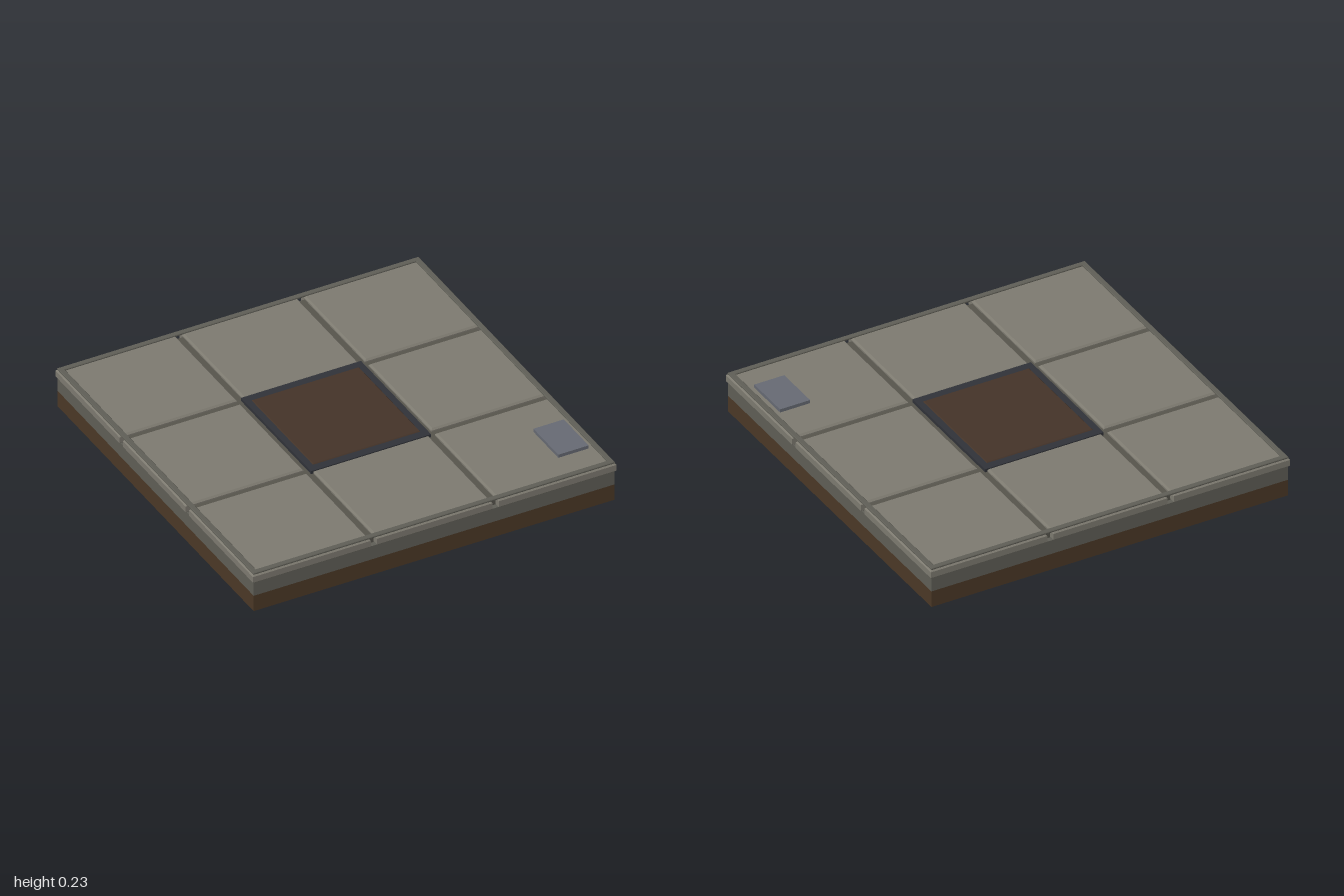
import * as THREE from 'three';

const material = (color) => new THREE.MeshStandardMaterial({ color, flatShading: true });
const soil = material(0x4b3826);
const bedding = material(0x5f5e56);
const stone = material(0x7d7a70);
const joint = material(0x56544c);
const iron = material(0x303238);
const earth = material(0x443328);
const plateGrey = material(0x666a73);

// Box given by its limits on each axis
function block(name, [x0, x1], [y0, y1], [z0, z1], mat) {
  const mesh = new THREE.Mesh(new THREE.BoxGeometry(x1 - x0, y1 - y0, z1 - z0), mat);
  mesh.position.set((x0 + x1) / 2, (y0 + y1) / 2, (z0 + z1) / 2);
  mesh.name = name;
  return mesh;
}

// Block with chamfered edges all round
function chamferedBlock(name, [x0, x1], [y0, y1], [z0, z1], c, mat) {
  const w = (x1 - x0) / 2 - c;
  const d = (z1 - z0) / 2 - c;
  const shape = new THREE.Shape([[-w, -d], [w, -d], [w, d], [-w, d]].map(([x, y]) => new THREE.Vector2(x, y)));
  const geometry = new THREE.ExtrudeGeometry(shape, {
    depth: y1 - y0 - 2 * c, bevelEnabled: true, bevelThickness: c, bevelSize: c, bevelSegments: 1,
  });
  geometry.rotateX(-Math.PI / 2);
  const mesh = new THREE.Mesh(geometry, mat);
  mesh.position.set((x0 + x1) / 2, y0 + c, (z0 + z1) / 2);
  mesh.name = name;
  return mesh;
}

export function createModel() {
  const model = new THREE.Group();
  model.name = 'pavedGroundTile';

  // Soil and bedding layers
  model.add(block('soilLayer', [-0.992, 0.992], [0, 0.09], [-0.992, 0.992], soil));
  model.add(block('beddingLayer', [-0.992, 0.992], [0.09, 0.168], [-0.992, 0.992], bedding));

  // Eight paving slabs around an open centre
  const slabs = new THREE.Group();
  slabs.name = 'pavingSlabs';
  const spans = [[-1, -0.352], [-0.318, 0.318], [0.352, 1]];
  spans.forEach((xs, i) => spans.forEach((zs, j) => {
    if (i === 1 && j === 1) return;
    slabs.add(chamferedBlock('pavingSlab', xs, [0.165, 0.216], zs, 0.009, stone));
  }));
  model.add(slabs);

  // Joint filling in the grooves, and the raised outer rim
  for (const s of [-1, 1]) {
    const g = [s * 0.335 - 0.018, s * 0.335 + 0.018];
    model.add(block('lengthwiseJoint', g, [0.165, 0.2], [-0.965, 0.965], joint));
    model.add(block('crosswiseJoint', [-0.965, 0.965], [0.165, 0.2], g, joint));
    const r = [s * 0.98 - 0.014, s * 0.98 + 0.014];
    model.add(chamferedBlock('sideRim', r, [0.212, 0.224], [-0.994, 0.994], 0.003, bedding));
    model.add(chamferedBlock('endRim', [-0.994, 0.994], [0.212, 0.224], r, 0.003, bedding));
  }

  // Iron frame around the planting bed
  const frame = new THREE.Group();
  frame.name = 'bedFrame';
  for (const s of [-1, 1]) {
    frame.add(block('frameSide', [s * 0.312 - 0.018, s * 0.312 + 0.018], [0.165, 0.217], [-0.355, 0.355], iron));
    frame.add(block('frameEnd', [-0.294, 0.294], [0.165, 0.217], [s * 0.332 - 0.023, s * 0.332 + 0.023], iron));
  }
  model.add(frame);
  model.add(chamferedBlock('bedEarth', [-0.297, 0.297], [0.165, 0.221], [-0.313, 0.313], 0.006, earth));

  // Small cover plate on the front left slab
  model.add(block('coverPlate', [0.775, 0.942], [0.214, 0.234], [0.572, 0.824], plateGrey));

  return model;
}
